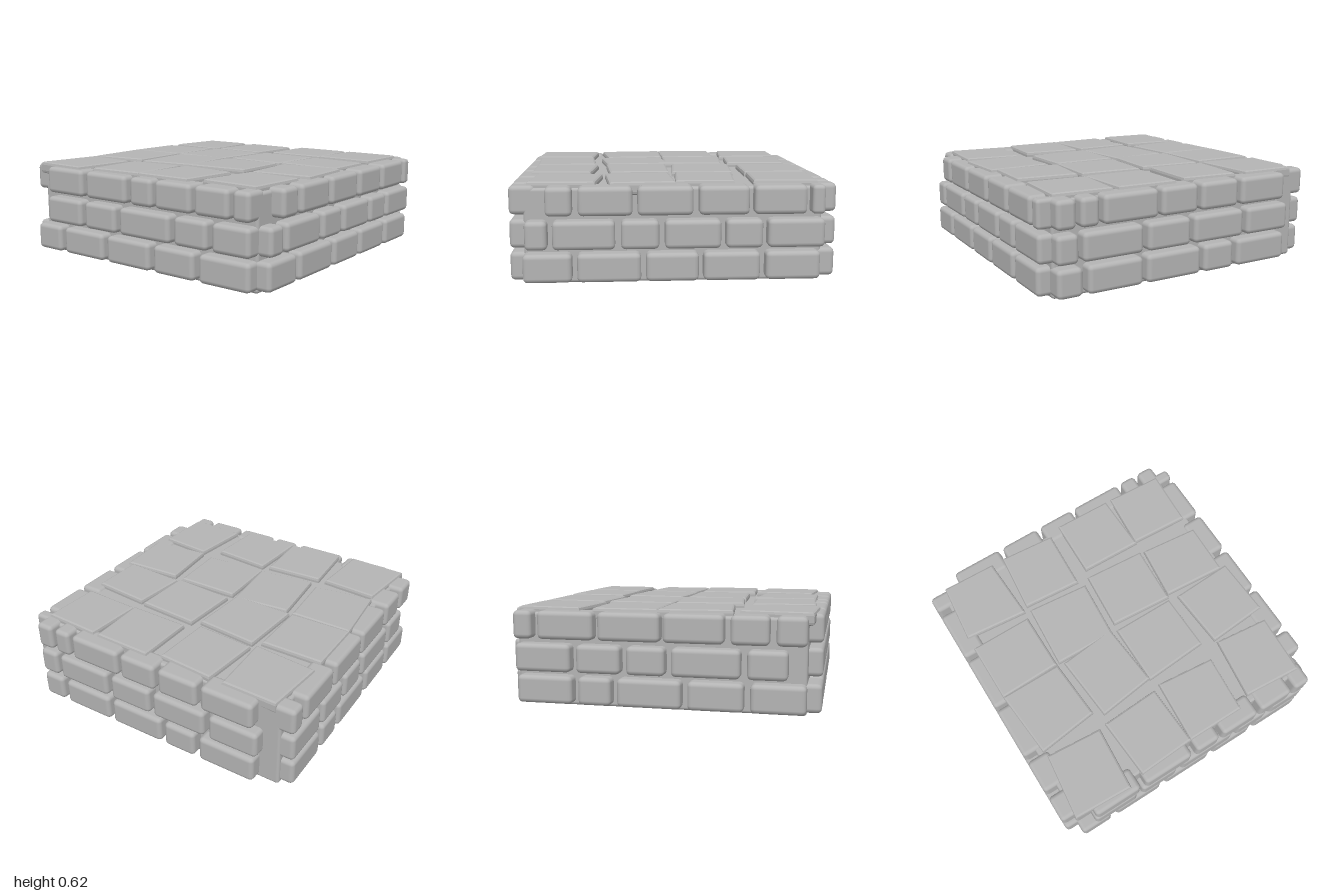
import * as THREE from 'three';
import { RoundedBoxGeometry } from 'three/addons/geometries/RoundedBoxGeometry.js';

// Brick spans along each wall, from the bottom course to the top course
const FRONT = [
  [[-0.915, -0.62], [-0.59, -0.205], [-0.175, 0.145], [0.175, 0.52], [0.555, 0.89]],
  [[-0.9, -0.765], [-0.735, -0.36], [-0.325, -0.095], [-0.06, 0.28], [0.31, 0.535], [0.565, 0.915]],
  [[-0.775, -0.615], [-0.58, -0.255], [-0.225, 0.11], [0.145, 0.45], [0.48, 0.8], [0.83, 0.91]],
];
const BACK = [
  [[-0.91, -0.58], [-0.54, -0.2], [-0.16, 0.24], [0.28, 0.49], [0.53, 0.89]],
  [[-0.8, -0.56], [-0.52, -0.1], [-0.06, 0.18], [0.22, 0.5], [0.54, 0.9]],
  [[-0.91, -0.73], [-0.69, -0.46], [-0.42, -0.05], [-0.03, 0.36], [0.39, 0.75], [0.79, 0.91]],
];
const PLUS_X = [
  [[-0.775, -0.38], [-0.345, -0.115], [-0.085, 0.31], [0.34, 0.715], [0.75, 0.915]],
  [[-0.795, -0.455], [-0.42, -0.035], [-0.005, 0.305], [0.34, 0.745], [0.775, 0.915]],
  [[-0.76, -0.4], [-0.37, -0.085], [-0.055, 0.21], [0.235, 0.61], [0.64, 0.76], [0.79, 0.915]],
];
const MINUS_X = [
  [[-0.91, -0.68], [-0.64, -0.27], [-0.23, 0.14], [0.18, 0.5], [0.54, 0.91]],
  [[-0.8, -0.47], [-0.43, -0.15], [-0.11, 0.31], [0.35, 0.6], [0.64, 0.91]],
  [[-0.79, -0.45], [-0.41, -0.05], [-0.01, 0.17], [0.2, 0.48], [0.51, 0.76], [0.79, 0.91]],
];
const COURSE_Y = [0.107, 0.307, 0.512];

// Paving slab corners as x, z pairs, going round each slab
const SLABS = [
  [-0.94, -0.91, -0.5, -0.86, -0.53, -0.48, -0.96, -0.51],
  [-0.46, -0.87, 0, -0.91, 0, -0.49, -0.41, -0.46],
  [0, -0.91, 0.41, -0.91, 0.41, -0.49, 0.01, -0.49],
  [0.5, -0.91, 0.91, -0.87, 0.9, -0.5, 0.46, -0.48],
  [-0.93, -0.4, -0.52, -0.43, -0.5, -0.03, -0.91, -0.01],
  [-0.46, -0.4, -0.01, -0.44, 0.03, -0.05, -0.41, -0.01],
  [0.01, -0.47, 0.45, -0.44, 0.41, -0.02, 0, -0.05],
  [0.49, -0.45, 0.9, -0.41, 0.87, -0.03, 0.46, -0.05],
  [-0.91, -0.01, -0.48, 0.02, -0.52, 0.42, -0.91, 0.39],
  [-0.42, -0.01, 0, -0.01, 0, 0.42, -0.39, 0.43],
  [0.05, 0, 0.45, 0.03, 0.42, 0.45, 0.02, 0.43],
  [0.51, 0.05, 0.91, 0.06, 0.9, 0.46, 0.5, 0.47],
  [-0.86, 0.48, -0.44, 0.53, -0.48, 0.9, -0.89, 0.88],
  [-0.42, 0.52, -0.01, 0.49, 0.01, 0.91, -0.39, 0.93],
  [0.04, 0.44, 0.41, 0.48, 0.37, 0.88, 0.01, 0.87],
  [0.51, 0.47, 0.9, 0.5, 0.88, 0.89, 0.49, 0.87],
];

export function createModel() {
  const model = new THREE.Group();
  const stone = new THREE.MeshStandardMaterial({ color: 0xb4b4b4 });
  stone.name = 'grey stone';

  const add = (parent, name, geometry, x = 0, y = 0, z = 0) => {
    const mesh = new THREE.Mesh(geometry, stone);
    mesh.name = name;
    mesh.position.set(x, y, z);
    parent.add(mesh);
    return mesh;
  };

  // Mortar block behind the bricks
  add(model, 'mortarCore', new RoundedBoxGeometry(1.82, 0.585, 1.82, 2, 0.02), 0, 0.2925, 0);

  // One wall of soft-edged bricks; alongX tells which way the wall runs
  const buildWall = (name, courses, alongX, side) => {
    const wall = new THREE.Group();
    wall.name = name;
    const depth = 0.16;
    const offset = side * (0.997 - depth / 2);
    courses.forEach((spans, row) => {
      for (const [a, b] of spans) {
        const length = b - a, mid = (a + b) / 2;
        const radius = Math.min(0.03, length * 0.3);
        if (alongX) {
          add(wall, 'brick', new RoundedBoxGeometry(length, 0.177, depth, 2, radius), mid, COURSE_Y[row], offset);
        } else {
          add(wall, 'brick', new RoundedBoxGeometry(depth, 0.177, length, 2, radius), offset, COURSE_Y[row], mid);
        }
      }
    });
    model.add(wall);
  };
  buildWall('frontWall', FRONT, true, 1);
  buildWall('backWall', BACK, true, -1);
  buildWall('leftWall', PLUS_X, false, 1);
  buildWall('rightWall', MINUS_X, false, -1);

  // Uneven paving slabs with bevelled rims
  const paving = new THREE.Group();
  paving.name = 'paving';
  for (const c of SLABS) {
    const shape = new THREE.Shape();
    shape.moveTo(c[0], -c[1]);
    for (let i = 2; i < 8; i += 2) shape.lineTo(c[i], -c[i + 1]);
    shape.closePath();
    const slab = new THREE.ExtrudeGeometry(shape, {
      depth: 0.04, bevelEnabled: true, bevelThickness: 0.02, bevelSize: 0.015, bevelOffset: -0.012, bevelSegments: 2,
    });
    slab.rotateX(-Math.PI / 2);
    add(paving, 'slab', slab, 0, 0.56, 0);
  }
  model.add(paving);
  return model;
}
